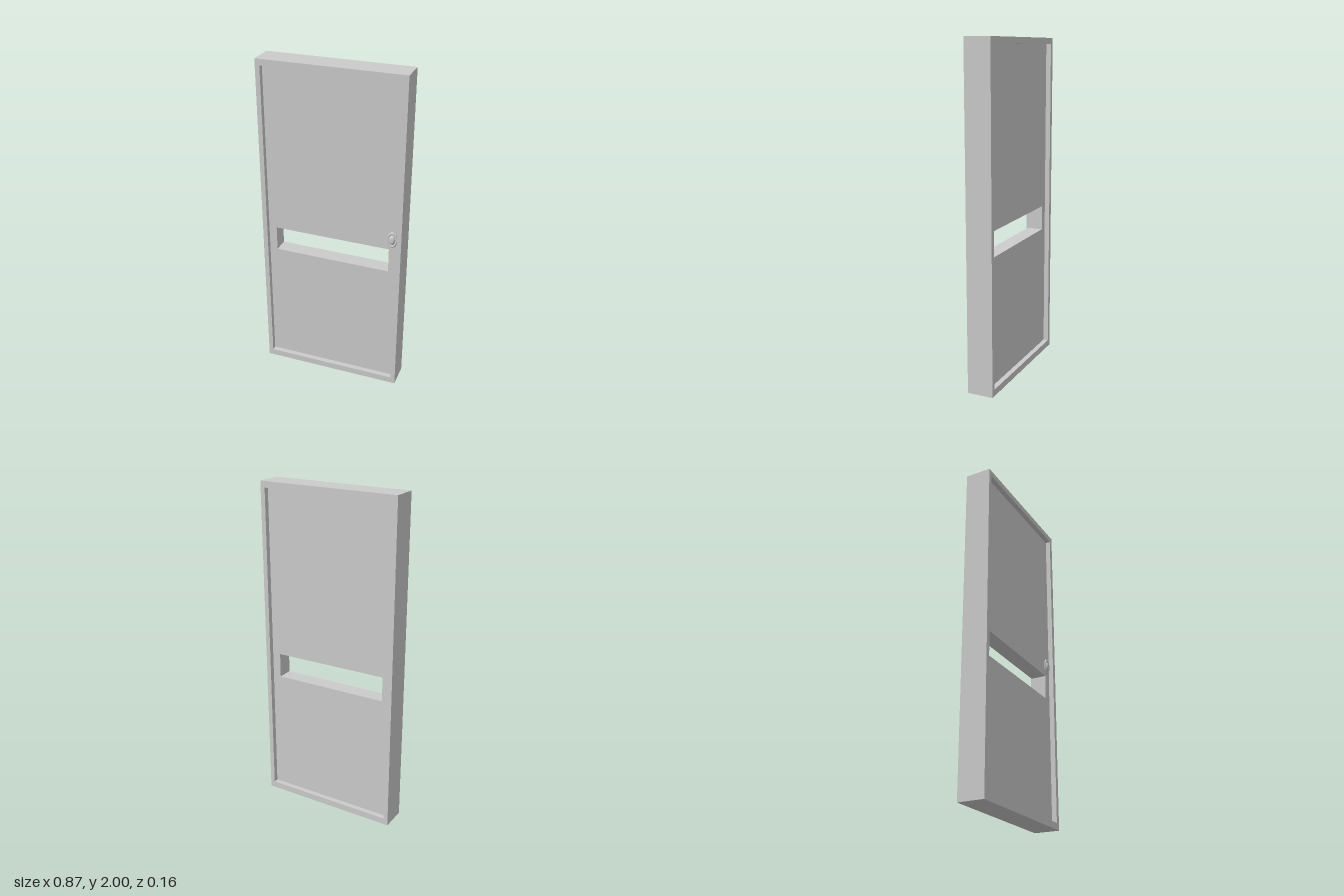
import * as THREE from 'three';

const material = new THREE.MeshStandardMaterial({ color: 0xcccccc, flatShading: true });

const polygon = (Type, points) => new Type(points.map(([x, y]) => new THREE.Vector2(x, y)));

// Flat plate with one opening, centred on z = 0
function plate(name, outline, opening, depth) {
  const shape = polygon(THREE.Shape, outline);
  shape.holes.push(polygon(THREE.Path, opening));
  const geometry = new THREE.ExtrudeGeometry(shape, { depth, bevelEnabled: false });
  geometry.translate(0, 0, -depth / 2);
  const mesh = new THREE.Mesh(geometry, material);
  mesh.name = name;
  return mesh;
}

const rect = (halfWidth, bottom, top) => [
  [-halfWidth, bottom], [halfWidth, bottom], [halfWidth, top], [-halfWidth, top],
];

export function createModel() {
  const group = new THREE.Group();
  group.name = 'door';

  // Raised frame around the leaf
  const inner = rect(0.405, 0.04, 1.963);
  group.add(plate('frame', rect(0.433, 0, 2), inner, 0.157));

  // Recessed leaf with a slightly slanted slot
  const slot = [[-0.357, 0.807], [0.353, 0.8], [0.353, 0.95], [-0.357, 0.957]];
  group.add(plate('leaf', inner, slot, 0.096));

  // Oval knob on the front: low rim, hollow ring and a raised centre
  const profile = [
    [0.03, 0], [0.03, 0.005], [0.026, 0.009], [0.019, 0.006],
    [0.016, 0.011], [0.01, 0.016], [0, 0.017],
  ].map(([r, h]) => new THREE.Vector2(r, h));
  const knobGeometry = new THREE.LatheGeometry(profile, 16);
  knobGeometry.rotateX(Math.PI / 2);
  knobGeometry.scale(1, 1.67, 1);
  const knob = new THREE.Mesh(knobGeometry, material);
  knob.name = 'knob';
  knob.position.set(0.372, 1.018, 0.048);
  group.add(knob);

  return group;
}
